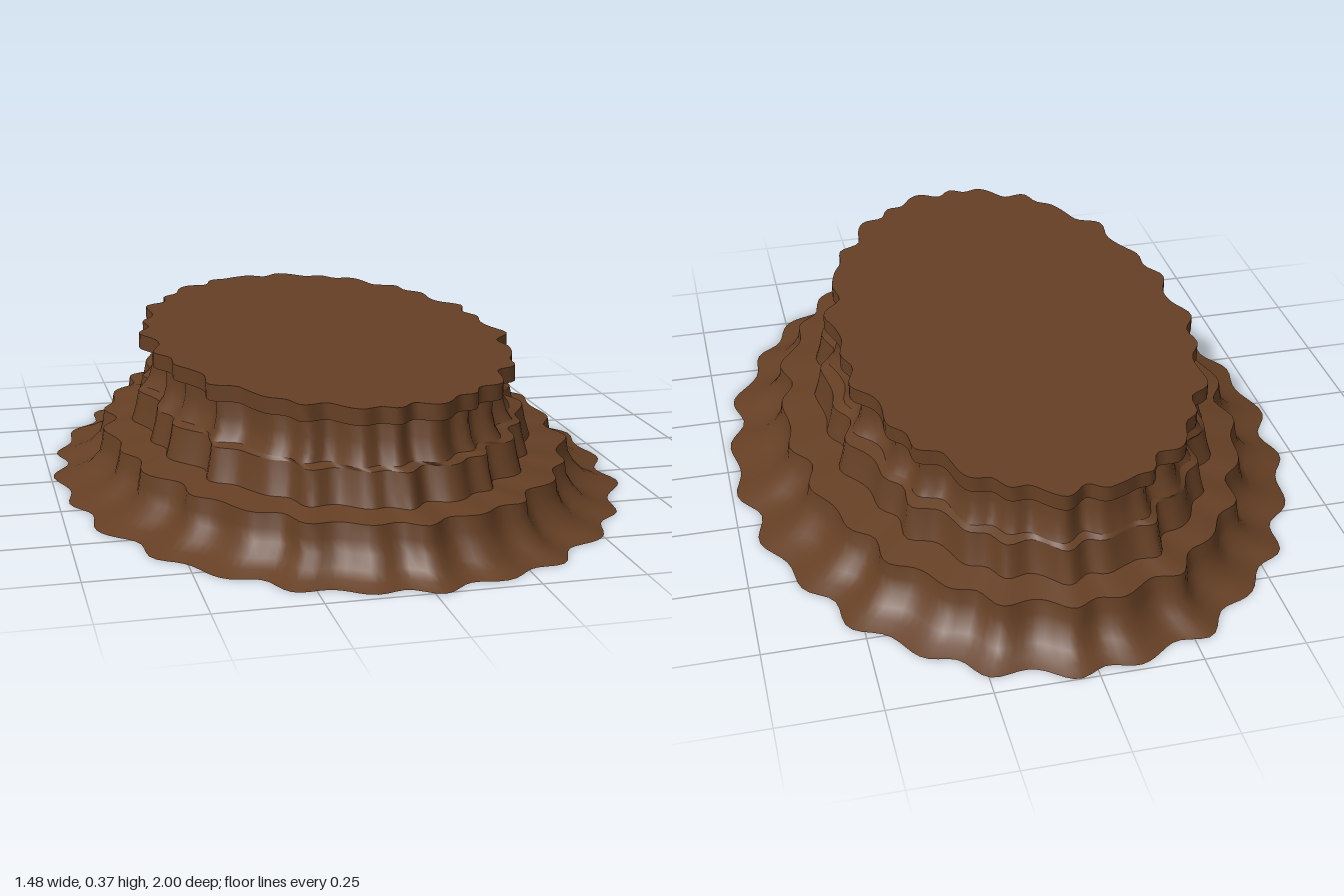
import * as THREE from 'three';

const SEGMENTS = 224;

// Rippled ellipse outlines: centre shift, wave height and wave phases differ per tier
const tiers = {
  foot: { shift: 0, amp: 0.016, phase: 0.6, rough: 0.35 },
  step: { shift: -0.005, amp: 0.014, phase: 0.6, rough: 0.5 },
  body: { shift: -0.012, amp: 0.013, phase: 1.1, rough: 0.7 },
  neck: { shift: -0.02, amp: 0.012, phase: 1.7, rough: 0.8 },
  lip: { shift: -0.022, amp: 0.012, phase: 1.7, rough: 0.8 },
};

function ringPoint(ring, t) {
  const [y, rx, rz, tierName, flat = 1] = ring;
  const { shift, amp, phase, rough } = tiers[tierName];
  const wave = Math.sin(27 * t + phase + 0.5 * Math.sin(3 * t))
    + rough * Math.sin(16 * t + 2.3 * phase)
    + 0.4 * rough * Math.sin(41 * t + phase);
  const r = amp * flat * wave;
  return [shift + (rx + r) * Math.sin(t), y, (rz + r) * Math.cos(t)];
}

// Smooth closed band through a stack of rings
function band(name, material, rings) {
  const positions = [];
  const index = [];
  rings.forEach((ring, i) => {
    for (let j = 0; j < SEGMENTS; j++) {
      positions.push(...ringPoint(ring, (j / SEGMENTS) * Math.PI * 2));
      if (i === rings.length - 1) continue;
      const a = i * SEGMENTS + j;
      const b = i * SEGMENTS + (j + 1) % SEGMENTS;
      index.push(a, b, a + SEGMENTS, b, b + SEGMENTS, a + SEGMENTS);
    }
  });
  const geometry = new THREE.BufferGeometry();
  geometry.setAttribute('position', new THREE.Float32BufferAttribute(positions, 3));
  geometry.setIndex(index);
  geometry.computeVertexNormals();
  const mesh = new THREE.Mesh(geometry, material);
  mesh.name = name;
  return mesh;
}

export function createModel() {
  const group = new THREE.Group();
  group.name = 'rippledPlinth';
  const brown = new THREE.MeshStandardMaterial({ color: 0x653f24, side: THREE.DoubleSide });
  brown.name = 'earthBrown';

  // Edge rings shared by neighbouring bands keep the creases sharp
  const stepEdge = [0.125, 0.585, 0.885, 'step'];
  const bodyBase = [0.14, 0.495, 0.815, 'body'];
  const bodyEdge = [0.22, 0.475, 0.79, 'body'];
  const neckBase = [0.228, 0.455, 0.775, 'neck'];
  const neckTop = [0.33, 0.43, 0.75, 'neck'];
  const lipBase = [0.33, 0.46, 0.785, 'lip'];
  const lipTop = [0.37, 0.46, 0.785, 'lip'];

  group.add(
    // Flared foot
    band('flaredFoot', brown, [
      [0, 0.725, 0.983, 'foot'],
      [0.012, 0.68, 0.95, 'foot', 0.9],
      [0.03, 0.635, 0.925, 'foot', 0.85],
      [0.06, 0.605, 0.903, 'foot', 0.8],
      [0.09, 0.592, 0.892, 'step', 0.9],
      stepEdge,
    ]),
    band('lowerLedge', brown, [stepEdge, bodyBase]),
    // Middle tier
    band('middleTier', brown, [bodyBase, [0.18, 0.483, 0.8, 'body'], bodyEdge]),
    band('upperLedge', brown, [bodyEdge, neckBase]),
    // Concave neck
    band('neck', brown, [
      neckBase,
      [0.25, 0.438, 0.765, 'neck'],
      [0.285, 0.428, 0.755, 'neck'],
      neckTop,
    ]),
    // Overhanging lip and flat top
    band('lipUnderside', brown, [neckTop, lipBase]),
    band('lip', brown, [lipBase, lipTop]),
    band('topSurface', brown, [lipTop, [0.37, 0, 0, 'lip', 0]]),
  );
  return group;
}
